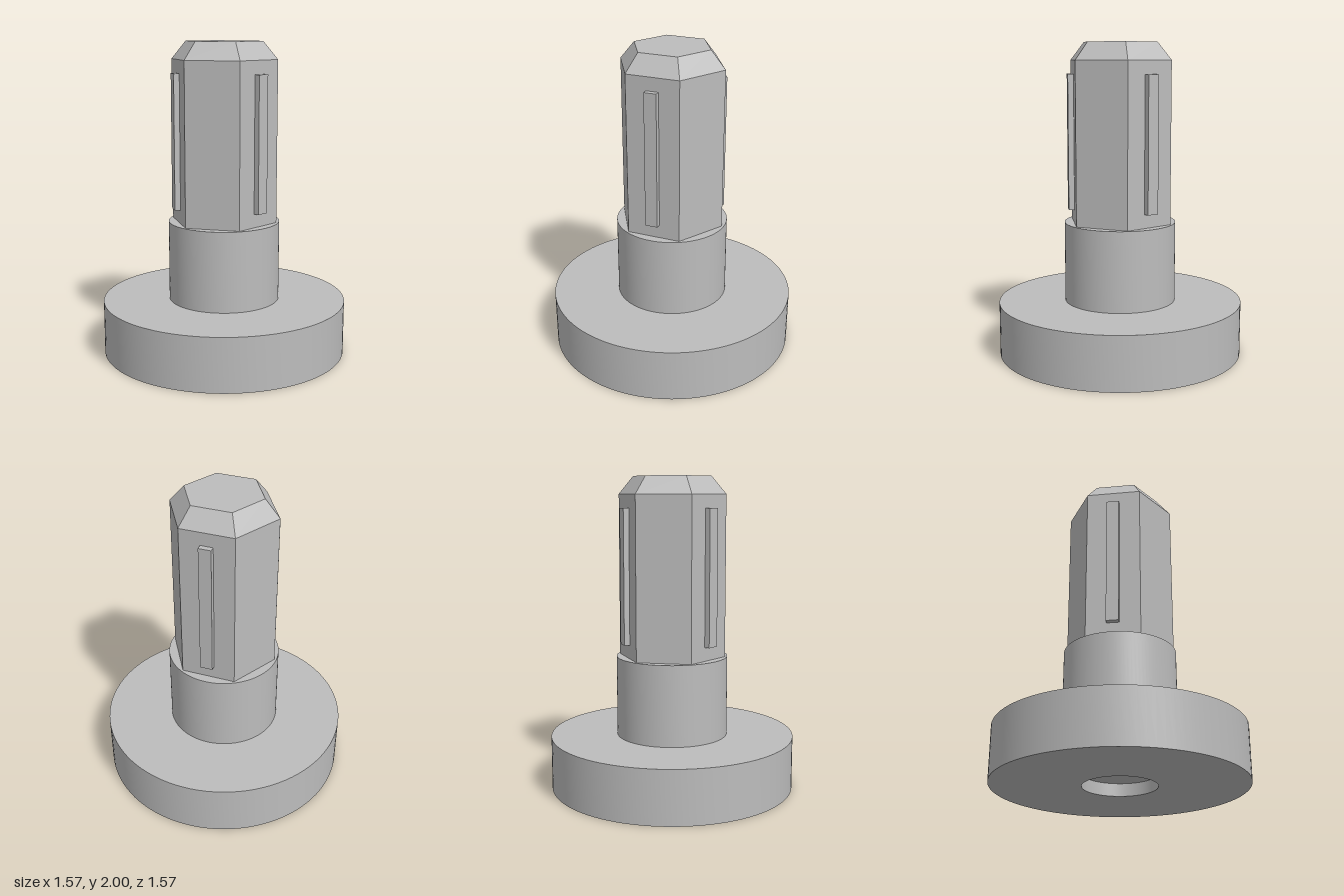
import * as THREE from 'three';
import { toCreasedNormals } from 'three/addons/utils/BufferGeometryUtils.js';

export function createModel() {
  const model = new THREE.Group();
  const grey = new THREE.MeshStandardMaterial({ color: 0xbcbcbc });
  grey.name = 'plain grey';

  const add = (name, geometry, parent = model) => {
    const mesh = new THREE.Mesh(geometry, grey);
    mesh.name = name;
    parent.add(mesh);
    return mesh;
  };

  // Turned base: shallow recess underneath, wide flange, narrower collar
  const profile = [
    [0, 0.08], [0.23, 0.08], [0.23, 0], [0.785, 0],
    [0.785, 0.343], [0.357, 0.343], [0.357, 0.858], [0, 0.858],
  ].map(([r, y]) => new THREE.Vector2(r, y));
  add('flangeAndCollar', toCreasedNormals(new THREE.LatheGeometry(profile, 96), 0.6));

  // Hexagonal shaft with a chamfered tip, corners on the z axis
  const corner = 0.344;
  const hexPart = (name, topRadius, y0, y1, open) => {
    const geometry = new THREE.CylinderGeometry(topRadius, corner, y1 - y0, 6, 1, open);
    add(name, toCreasedNormals(geometry, 0.3)).position.y = (y0 + y1) / 2;
  };
  hexPart('hexShaft', corner, 0.858, 1.888, true);
  hexPart('chamferedTip', 0.25, 1.888, 2, false);

  // Raised ribs on every second flat
  const flat = corner * Math.cos(Math.PI / 6);
  for (let i = 0; i < 3; i++) {
    const holder = new THREE.Group();
    holder.name = 'ribHolder' + (i + 1);
    holder.rotation.y = (i * Math.PI * 2) / 3;
    const rib = add('rib' + (i + 1), new THREE.BoxGeometry(0.055, 0.858, 0.08), holder);
    rib.position.set(flat + 0.0355 - 0.0275, 1.374, 0);
    model.add(holder);
  }
  return model;
}
